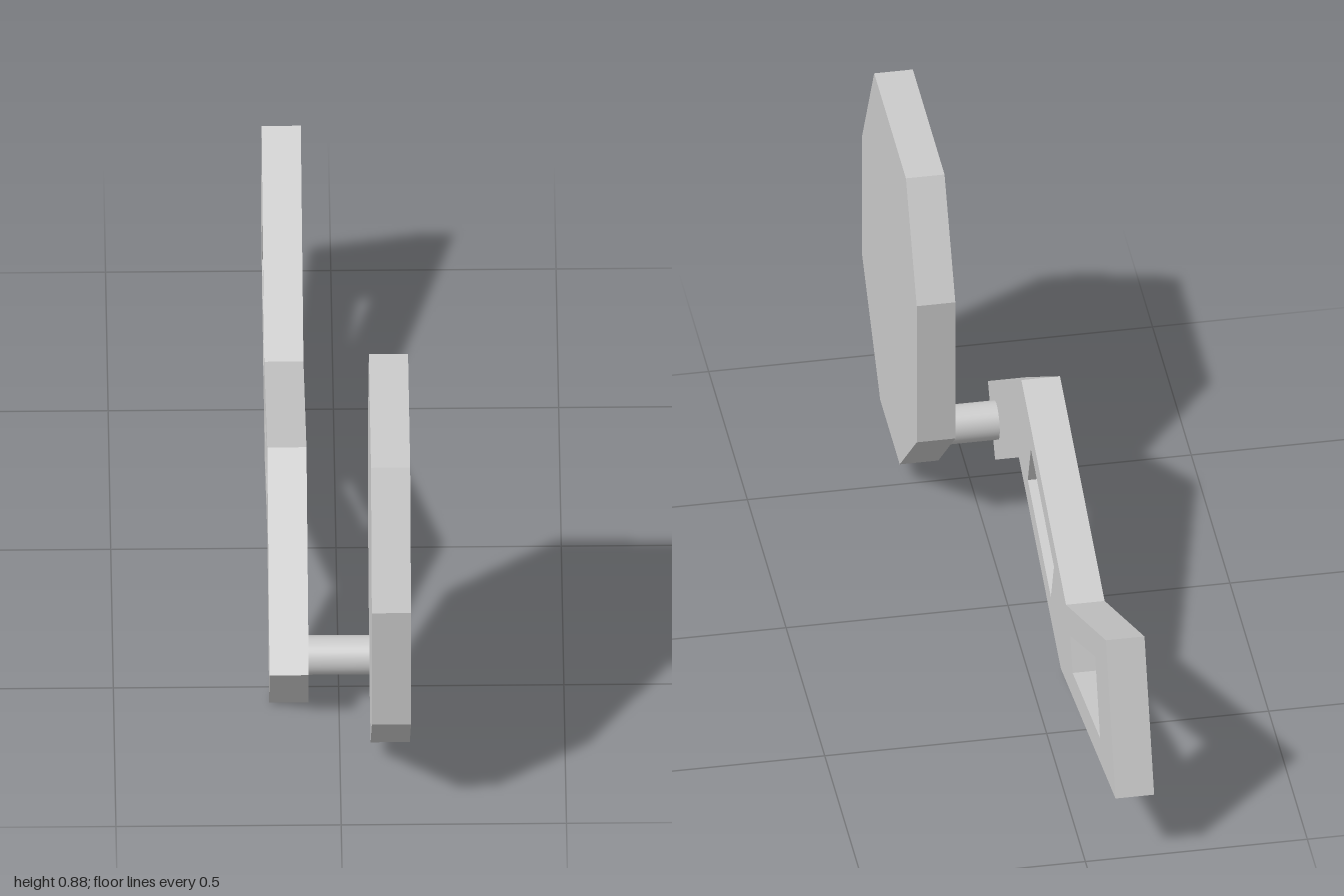
import * as THREE from 'three';

const material = new THREE.MeshStandardMaterial({ color: 0xcccccc, flatShading: true });
const smooth = new THREE.MeshStandardMaterial({ color: 0xcccccc });
const OUTER = 0.155, INNER = 0.068;

const toPoints = (pairs) => pairs.map(([z, y]) => new THREE.Vector2(z, y));

// Flat plate from a [z, y] outline, extending towards -x from xMax
function plate(name, outline, holes, xMax) {
  const shape = new THREE.Shape(toPoints(outline));
  for (const hole of holes) shape.holes.push(new THREE.Path(toPoints(hole)));
  const geometry = new THREE.ExtrudeGeometry(shape, { depth: OUTER - INNER, bevelEnabled: false });
  geometry.rotateY(-Math.PI / 2).translate(xMax, 0, 0);
  const mesh = new THREE.Mesh(geometry, material);
  mesh.name = name;
  return mesh;
}

export function createModel() {
  const model = new THREE.Group();
  model.name = 'crankAssembly';

  // Eight-sided plate on the left
  model.add(plate('octagonPlate', [
    [0.84, 0.88], [0.43, 0.88], [0.29, 0.63], [0.29, 0.26],
    [0.51, 0.047], [0.763, 0.047], [1, 0.282], [1, 0.595],
  ], [], OUTER));

  // Bent arm with two cut-outs on the right
  model.add(plate('bentArm', [
    [0.65, 0.149], [0.217, 0.453], [-0.36, 0.244], [-0.875, 0.506],
    [-1, 0.163], [-0.292, 0.024], [0.25, 0.22], [0.557, 0],
  ], [
    [[0.094, 0.351], [-0.204, 0.239], [-0.164, 0.129], [0.134, 0.239]],
    [[-0.416, 0.198], [-0.737, 0.365], [-0.8, 0.188], [-0.445, 0.118]],
  ], -INNER));

  // Round pin joining the two plates
  const pin = new THREE.Mesh(new THREE.CylinderGeometry(0.044, 0.044, INNER * 2, 32), smooth);
  pin.name = 'pin';
  pin.rotation.z = Math.PI / 2;
  pin.position.set(0, 0.12, 0.54);
  model.add(pin);

  return model;
}
